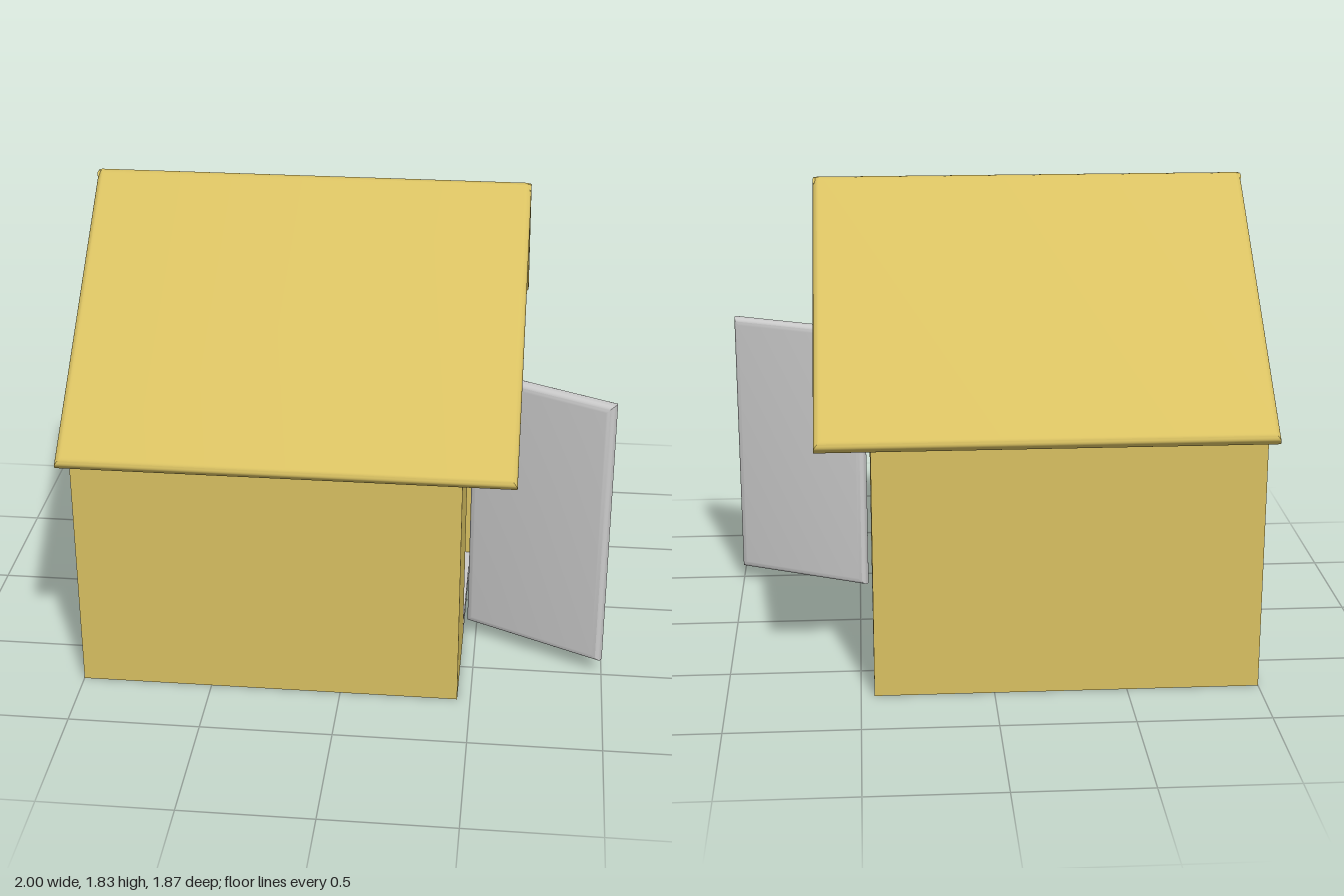
import * as THREE from 'three';
import { toCreasedNormals } from 'three/addons/utils/BufferGeometryUtils.js';

const WALL_H = 1.165, HALF = 0.725, THICK = 0.145, RIDGE = 1.775;
const BACK = -1, FRONT = 0.45, DOOR = 0.29, FLOOR_H = 0.06;

export function createModel() {
  const model = new THREE.Group();
  const yellow = new THREE.MeshStandardMaterial({ color: 0xd9c162, side: THREE.DoubleSide });
  const grey = new THREE.MeshStandardMaterial({ color: 0xcccccc });

  const add = (name, geometry, material) => {
    const mesh = new THREE.Mesh(geometry, material);
    mesh.name = name;
    model.add(mesh);
    return mesh;
  };

  const polygon = (points) => new THREE.Shape(points.map(([x, y]) => new THREE.Vector2(x, y)));

  // Ground plan (x, z) raised to a height
  const raisePlan = (points, height) =>
    new THREE.ExtrudeGeometry(polygon(points), { depth: height, bevelEnabled: false }).rotateX(-Math.PI / 2);

  // Flat panel with half-round edges and mitred corners
  const slab = (w, h, r) => {
    const x = w / 2 - r, y = h / 2 - r;
    const g = new THREE.ExtrudeGeometry(polygon([[-x, -y], [x, -y], [x, y], [-x, y]]), {
      depth: 0.004, bevelThickness: r - 0.002, bevelSize: r, bevelSegments: 6,
    });
    return toCreasedNormals(g.translate(0, 0, -0.002), 0.6);
  };

  // Walls: a ring with the doorway cut through the +x side
  const innerX = FRONT - THICK, innerB = BACK + THICK, innerZ = HALF - THICK;
  add('walls', raisePlan([
    [FRONT, DOOR], [FRONT, HALF], [BACK, HALF], [BACK, -HALF], [FRONT, -HALF], [FRONT, -DOOR],
    [innerX, -DOOR], [innerX, -innerZ], [innerB, -innerZ], [innerB, innerZ], [innerX, innerZ], [innerX, DOOR],
  ], WALL_H), yellow);

  // Floor with a tongue that forms the doorstep
  add('floor', raisePlan([
    [innerB, -innerZ], [innerX, -innerZ], [innerX, -DOOR], [FRONT, -DOOR],
    [FRONT, DOOR], [innerX, DOOR], [innerX, innerZ], [innerB, innerZ],
  ], FLOOR_H), grey);

  // Thin gables over both end walls
  const gableT = 0.03;
  for (const [name, x] of [['doorGable', FRONT - gableT], ['backGable', BACK]]) {
    const g = new THREE.ExtrudeGeometry(
      polygon([[-HALF, WALL_H], [HALF, WALL_H], [0, RIDGE]]), { depth: gableT, bevelEnabled: false });
    add(name, g.rotateY(Math.PI / 2).translate(x, 0, 0), yellow);
  }

  // Two roof panels meeting at the ridge
  const r = 0.028, run = 0.9, rise = 0.753;
  for (const side of [1, -1]) {
    const panel = add(side > 0 ? 'frontRoof' : 'rearRoof',
      slab(1.65, Math.hypot(run, rise) + 2 * r, r), yellow);
    panel.rotation.x = -side * Math.atan2(run, rise);
    panel.position.set(-0.175, 1.803 - rise / 2, side * (0.005 + run / 2));
  }

  // Door standing open, and the round post on the hinge side
  const doorH = WALL_H - FLOOR_H, doorY = FLOOR_H + doorH / 2;
  const door = add('door', slab(0.585, doorH, 0.03), grey);
  door.rotation.y = -Math.atan2(0.225, 0.475);
  door.position.set(0.7325, doorY, 0.3625);

  add('hingePost', new THREE.CylinderGeometry(0.03, 0.03, doorH, 16), grey).position.set(0.41, doorY, 0.255);

  return model;
}
